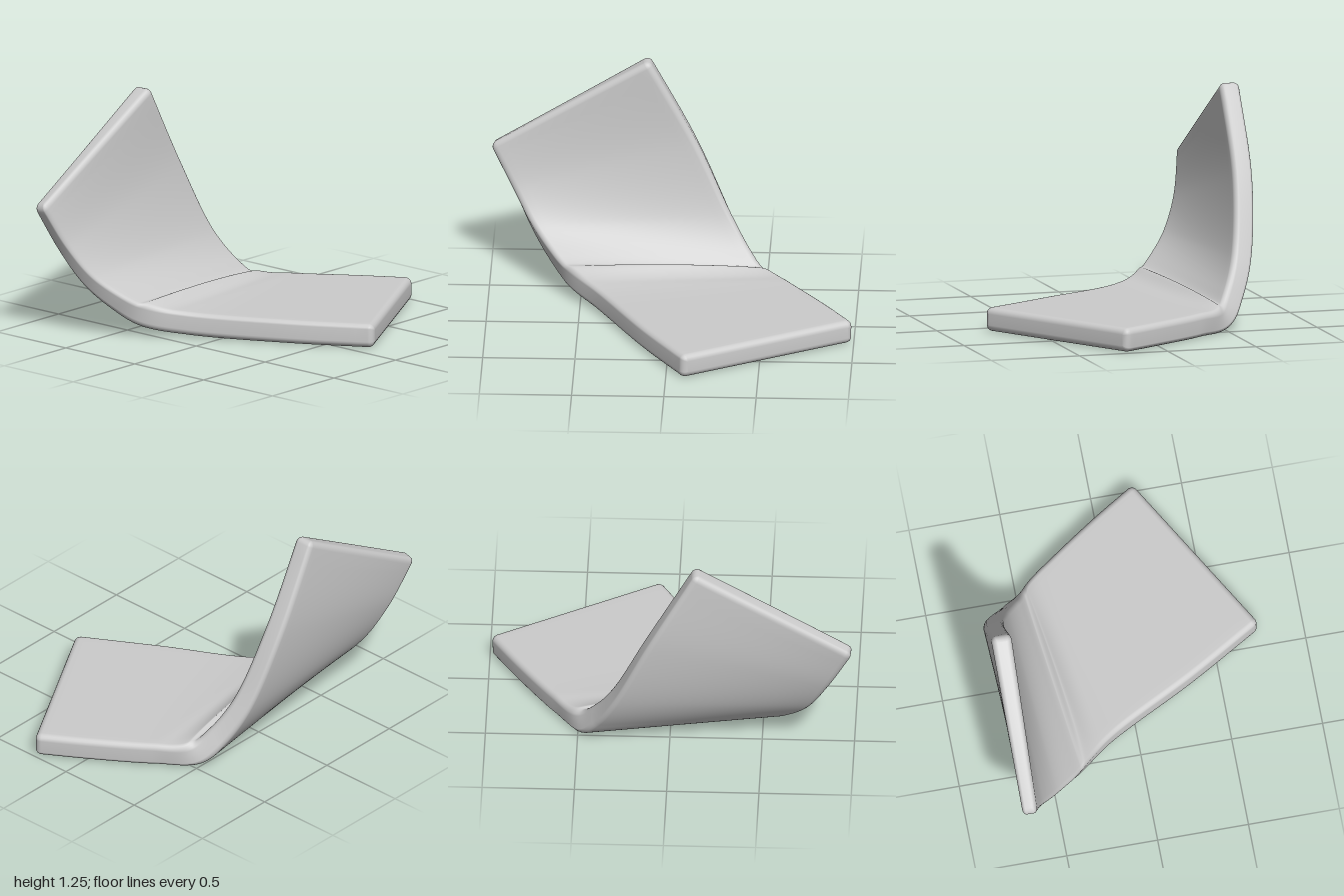
import * as THREE from 'three';

const V = (x, y, z) => new THREE.Vector3(x, y, z);

// Side edges of the bent strip at mid thickness, from the flat front end to the raised back end
const leftEdge = new THREE.CatmullRomCurve3([
  V(0.09, 0.068, 0.76), V(-0.15, 0.068, 0.35), V(-0.42, 0.08, -0.15), V(-0.58, 0.125, -0.34),
  V(-0.67, 0.2, -0.44), V(-0.77, 0.32, -0.55), V(-0.87, 0.5, -0.64), V(-1.0, 0.75, -0.705),
]);
const rightEdge = new THREE.CatmullRomCurve3([
  V(1.0, 0.068, 0.23), V(0.85, 0.068, -0.01), V(0.65, 0.068, -0.3), V(0.51, 0.078, -0.48),
  V(0.42, 0.18, -0.56), V(0.31, 0.37, -0.64), V(0.12, 0.78, -0.703), V(-0.14, 1.265, -0.703),
]);
const ROUND = 0.035;
const ACROSS = 24;
const ARC = 5;

// Rounded rectangle loop: top left to right, then back along the underside
function section(width, halfThick, inset) {
  const r = Math.max(ROUND - inset, 0.001);
  const W = width / 2 - inset;
  const h = halfThick - inset;
  const pts = [];
  for (const s of [1, -1]) {
    for (let i = 0; i <= ACROSS; i++) pts.push([s * (W - r) * (2 * i / ACROSS - 1), s * h]);
    for (let i = 1; i <= ARC; i++) {
      const a = Math.PI / 2 * i / ARC;
      pts.push([s * (W - r + r * Math.sin(a)), s * (h - r + r * Math.cos(a))]);
    }
    for (let i = 1; i < ARC; i++) {
      const a = Math.PI / 2 * i / ARC;
      pts.push([s * (W - r + r * Math.cos(a)), -s * (h - r + r * Math.sin(a))]);
    }
  }
  return pts;
}

// Low ridge across the inside of the bend: gentle ramp in front, quick drop behind
function ridge(t, w) {
  const u = t * 7;
  const rise = THREE.MathUtils.smoothstep(u, 2.25, 2.95);
  const fall = 1 - THREE.MathUtils.smoothstep(u, 2.98, 3.3);
  const fade = Math.sqrt(Math.max(0, Math.sin(Math.PI * THREE.MathUtils.clamp(w, 0, 1))));
  return 0.035 * rise * fall * fade;
}

function createStrip() {
  // Rows along the strip, with rounded and closed ends
  const rows = [];
  const end = (t, sign) => {
    const list = [{ t, shift: 0, inset: ROUND, flat: 0 }];
    for (let i = 0; i <= ARC; i++) {
      const a = Math.PI / 2 * i / ARC;
      list.push({ t, shift: sign * ROUND * (1 - Math.cos(a)), inset: ROUND * (1 - Math.sin(a)), flat: 1 });
    }
    return list;
  };
  rows.push(...end(0, 1));
  for (let i = 0; i <= 90; i++) rows.push({ t: 0.03 + 0.94 * i / 90, shift: 0, inset: 0, flat: 1 });
  rows.push(...end(1, -1).reverse());

  const pos = [];
  const index = [];
  let n = 0;
  for (const { t, shift, inset, flat } of rows) {
    const tanL = leftEdge.getTangent(t);
    const tanR = rightEdge.getTangent(t);
    const L = leftEdge.getPoint(t).addScaledVector(tanL, shift);
    const R = rightEdge.getPoint(t).addScaledVector(tanR, shift);
    const across = R.clone().sub(L);
    const width = across.length();
    const upright = THREE.MathUtils.smoothstep(t, 0.35, 1);
    const loop = section(width, 0.065, inset);
    n = loop.length;
    for (const [a, b] of loop) {
      const w = a / width + 0.5;
      const normal = across.clone().cross(tanL.clone().lerp(tanR, w)).normalize();
      // The raised end thins toward its left side
      const thin = 1 - upright * THREE.MathUtils.lerp(0.38, 0.14, w);
      const h = b * thin * flat + (b > 0.03 ? ridge(t, w) : 0);
      const p = L.clone().lerp(R, w).addScaledVector(normal, h);
      pos.push(p.x, Math.max(p.y, 0), p.z);
    }
  }
  for (let i = 0; i < rows.length - 1; i++) {
    for (let j = 0; j < n; j++) {
      const k = (j + 1) % n;
      const a = i * n + j, b = i * n + k, c = a + n, d = b + n;
      index.push(a, b, c, b, d, c);
    }
  }
  const geo = new THREE.BufferGeometry();
  geo.setAttribute('position', new THREE.Float32BufferAttribute(pos, 3));
  geo.setIndex(index);
  geo.computeVertexNormals();
  return geo;
}

export function createModel() {
  const group = new THREE.Group();
  group.name = 'bentSlab';
  const slab = new THREE.Mesh(createStrip(), new THREE.MeshStandardMaterial({ color: 0xcccccc }));
  slab.name = 'bentStrip';
  group.add(slab);
  return group;
}
